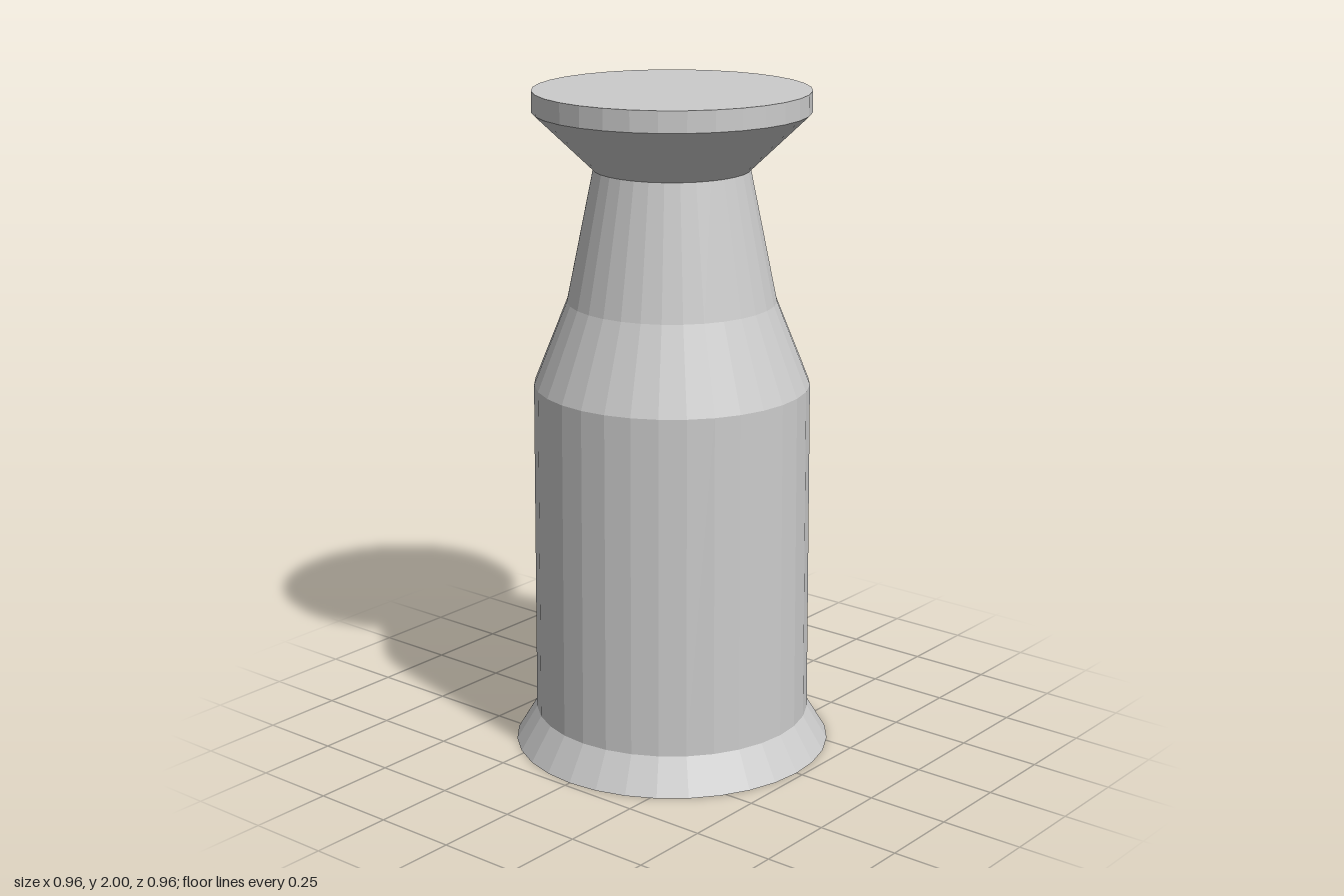
import * as THREE from 'three';

const SIDES = 32;

export function createModel() {
  const model = new THREE.Group();
  model.name = 'bottle';
  const material = new THREE.MeshStandardMaterial({ color: 0xcccccc, flatShading: true });

  // Stacked tapered rings: name, bottom y, bottom radius, top y, top radius
  const sections = [
    ['foot', 0, 0.48, 0.105, 0.417],
    ['body', 0.105, 0.417, 1.13, 0.41],
    ['shoulder', 1.13, 0.41, 1.38, 0.31],
    ['neck', 1.38, 0.31, 1.77, 0.23],
    ['flare', 1.77, 0.23, 1.938, 0.405],
    ['rim', 1.938, 0.405, 2, 0.405],
  ];
  for (const [name, y0, r0, y1, r1] of sections) {
    const geometry = new THREE.CylinderGeometry(r1, r0, y1 - y0, SIDES, 1, true);
    const mesh = new THREE.Mesh(geometry, material);
    mesh.name = name;
    mesh.position.y = (y0 + y1) / 2;
    model.add(mesh);
  }

  // Flat closing discs at both ends
  const addDisc = (name, radius, y, tilt) => {
    const disc = new THREE.Mesh(new THREE.CircleGeometry(radius, SIDES), material);
    disc.name = name;
    disc.rotation.x = tilt;
    disc.position.y = y;
    model.add(disc);
  };
  addDisc('lid', 0.405, 2, -Math.PI / 2);
  addDisc('underside', 0.48, 0, Math.PI / 2);

  return model;
}
